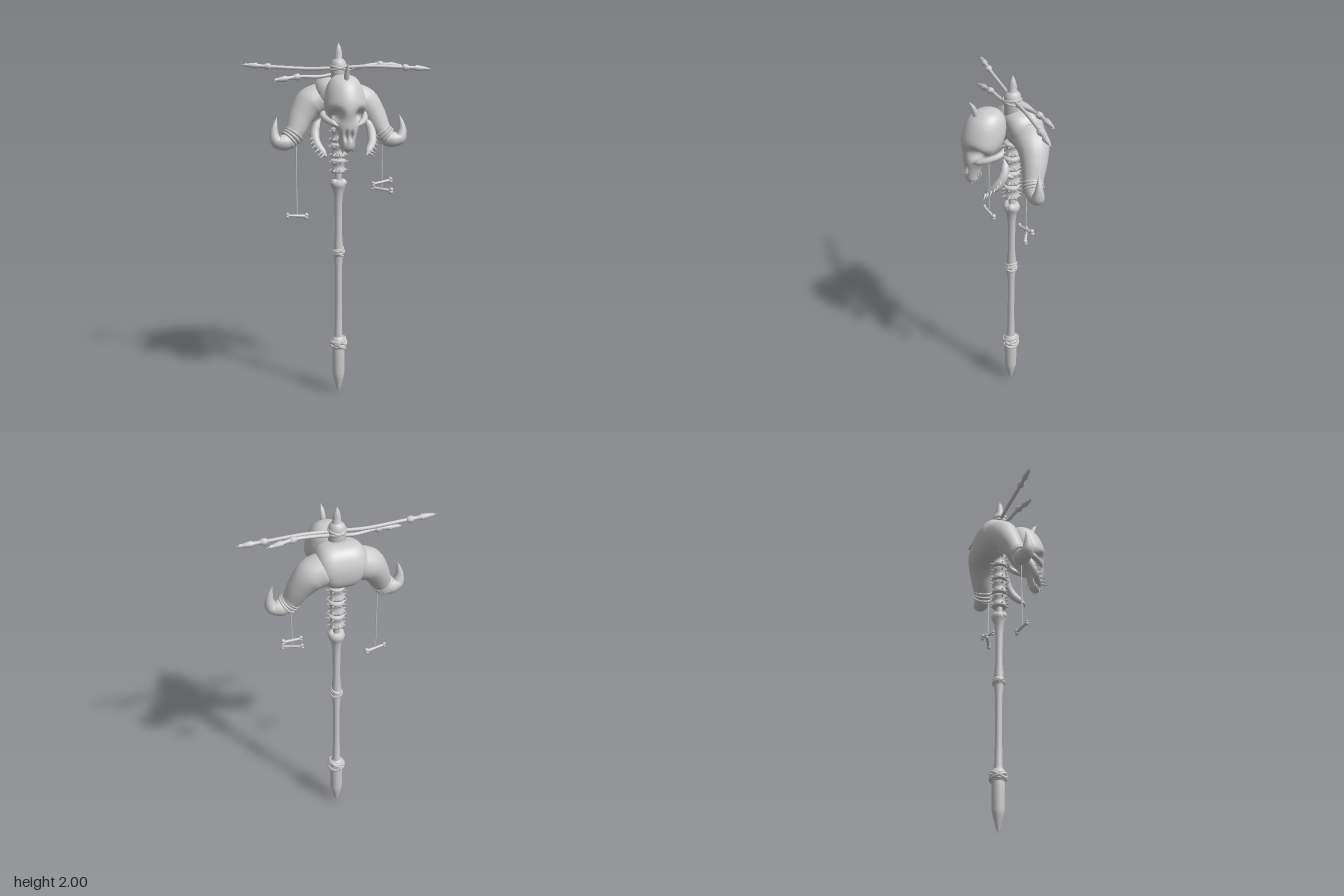
import * as THREE from 'three';
import { mergeVertices } from 'three/addons/utils/BufferGeometryUtils.js';

const AXIS_Z = -0.065;
const V = (x, y, z) => new THREE.Vector3(x, y, z);

export function createModel() {
  const root = new THREE.Group();
  const mat = new THREE.MeshStandardMaterial({ color: 0xcccccc, side: THREE.DoubleSide });

  const add = (parent, name, geo, x = 0, y = 0, z = 0) => {
    const m = new THREE.Mesh(geo, mat);
    m.name = name;
    m.position.set(x, y, z);
    parent.add(m);
    return m;
  };
  const group = (name, parent = root) => {
    const g = new THREE.Group();
    g.name = name;
    parent.add(g);
    return g;
  };
  const smooth = (geo) => {
    geo.deleteAttribute('uv');
    geo.deleteAttribute('normal');
    const g = mergeVertices(geo, 1e-5);
    g.computeVertexNormals();
    return g;
  };
  // Tube whose radius follows a list, one entry per path point
  const limb = (points, radii, seg = 28, sides = 14) => {
    const curve = new THREE.CatmullRomCurve3(points.map((p) => V(...p)));
    const geo = new THREE.TubeGeometry(curve, seg, 1, sides);
    const pos = geo.attributes.position, p = V(0, 0, 0);
    for (let i = 0; i <= seg; i++) {
      const c = curve.getPointAt(i / seg);
      const f = curve.getUtoTmapping(i / seg) * (radii.length - 1);
      const k = Math.min(Math.floor(f), radii.length - 2);
      const r = THREE.MathUtils.lerp(radii[k], radii[k + 1], f - k);
      for (let j = 0; j <= sides; j++) {
        const n = i * (sides + 1) + j;
        p.fromBufferAttribute(pos, n).sub(c).multiplyScalar(r).add(c);
        pos.setXYZ(n, p.x, p.y, p.z);
      }
    }
    return smooth(geo);
  };
  const lathe = (parent, name, pts, y = 0) =>
    add(parent, name, new THREE.LatheGeometry(pts.map((p) => new THREE.Vector2(...p)), 20), 0, y, AXIS_Z);
  // Cone from a base point along a direction
  const spike = (parent, name, base, dir, r, len) => {
    const d = V(...dir).normalize();
    const m = add(parent, name, new THREE.ConeGeometry(r, len, 7));
    m.quaternion.setFromUnitVectors(V(0, 1, 0), d);
    m.position.set(...base).addScaledVector(d, len / 2);
    return m;
  };

  // Long bone shaft with a pointed foot
  const staff = group('staff');
  lathe(staff, 'shaft', [[0, 0], [0.012, 0.025], [0.029, 0.09], [0.034, 0.12], [0.036, 0.24], [0.034, 0.3],
    [0.022, 0.36], [0.019, 0.5], [0.019, 0.74], [0.026, 0.82], [0.026, 0.88], [0.02, 0.95], [0.021, 1.12],
    [0.028, 1.19], [0.042, 1.215], [0.045, 1.235], [0.036, 1.252], [0, 1.255]]);
  for (const s of [-1, 1])
    add(staff, 'shaftKnuckle', new THREE.SphereGeometry(0.024, 14, 10), s * 0.022, 1.236, AXIS_Z + 0.012);

  // Crossed bindings
  const binding = (y, r, h) => {
    const g = group('binding', staff);
    const core = add(g, 'bindingCore', new THREE.SphereGeometry(r, 18, 12), 0, y, AXIS_Z);
    core.scale.y = h / r;
    for (const t of [-0.55, 0.55, -0.15, 0.2]) {
      const ring = add(g, 'bindingStrap', new THREE.TorusGeometry(r, r * 0.2, 8, 24), 0, y + t * 0.015, AXIS_Z);
      ring.rotation.set(Math.PI / 2 + (Math.abs(t) < 0.3 ? t * 2 : 0), t, 0);
    }
  };
  binding(0.3, 0.043, 0.052);
  binding(0.84, 0.031, 0.042);

  // Spiked vertebrae
  const spine = group('spine');
  add(spine, 'spineCore', new THREE.CylinderGeometry(0.019, 0.019, 0.45, 12), 0, 1.46, AXIS_Z);
  for (let i = 0; i < 4; i++) {
    const y = 1.33 + i * 0.087;
    lathe(spine, 'vertebra', [[0.015, -0.04], [0.04, -0.036], [0.043, -0.026], [0.034, -0.008], [0.034, 0.008],
      [0.043, 0.026], [0.04, 0.036], [0.015, 0.04]], y);
    for (let k = 0; k < 8; k++) for (const h of [-0.02, 0.02]) {
      const a = (k * Math.PI) / 4, c = Math.cos(a), s = Math.sin(a);
      spike(spine, 'vertebraSpike', [c * 0.036, y + h, AXIS_Z + s * 0.036], [c, h * 14, s], 0.007, 0.026);
    }
  }

  // Shoulder yoke: rounded bulk running from side to side
  const yoke = add(root, 'shoulderYoke', (() => {
    const g = new THREE.SphereGeometry(1, 40, 28);
    const pos = g.attributes.position;
    const sq = (v, e) => Math.sign(v) * Math.pow(Math.abs(v), e);
    for (let i = 0; i < pos.count; i++) {
      const x = sq(pos.getX(i), 0.55), y = sq(pos.getY(i), 0.75), z = sq(pos.getZ(i), 0.75);
      const taper = y < 0 ? 1 + 0.22 * y : 1;
      pos.setXYZ(i, x * 0.132 * taper, y * 0.118, z * 0.1 * taper + y * 0.012);
    }
    return smooth(g);
  })(), 0, 1.705, -0.115);
  yoke.rotation.x = 0.12;

  // Arms ending in curled horns
  for (const s of [-1, 1]) {
    const arm = group(s > 0 ? 'leftArm' : 'rightArm');
    add(arm, 'upperArm', limb([[s * 0.05, 1.71, -0.115], [s * 0.09, 1.695, -0.115], [s * 0.15, 1.67, -0.11],
      [s * 0.2, 1.61, -0.095], [s * 0.24, 1.53, -0.072], [s * 0.27, 1.485, -0.06], [s * 0.285, 1.475, -0.057]],
    [0, 0.088, 0.087, 0.07, 0.055, 0.046, 0], 32, 18));
    add(arm, 'hornClaw', limb([[s * 0.235, 1.49, -0.06], [s * 0.26, 1.48, -0.058], [s * 0.305, 1.47, -0.052],
      [s * 0.345, 1.48, -0.048], [s * 0.357, 1.52, -0.048], [s * 0.352, 1.565, -0.05], [s * 0.34, 1.61, -0.054]],
    [0, 0.042, 0.044, 0.036, 0.024, 0.014, 0], 36, 16));
    for (let k = 0; k < 3; k++) {
      const band = add(arm, 'wristBand', new THREE.TorusGeometry(0.05, 0.007, 8, 28),
        s * (0.247 + k * 0.012), 1.513 - k * 0.013, -0.066 + k * 0.003);
      band.quaternion.setFromUnitVectors(V(0, 0, 1), V(s * (0.6 + k * 0.12), -0.75, 0.2).normalize());
    }
  }

  // Skull lofted from the crown down to the snout
  const skull = group('skull');
  // height, front z, back z, half width
  const rows = [[1.842, 0.075, 0.075, 0], [1.828, 0.13, 0.015, 0.055], [1.79, 0.175, -0.015, 0.087],
    [1.725, 0.206, -0.02, 0.107], [1.665, 0.216, 0, 0.112], [1.605, 0.207, 0.045, 0.085], [1.55, 0.208, 0.1, 0.054],
    [1.5, 0.204, 0.12, 0.041], [1.46, 0.195, 0.135, 0.034], [1.437, 0.168, 0.168, 0]];
  const depthCurve = new THREE.CatmullRomCurve3(rows.map((r) => V(r[0], r[1], r[2])));
  const widthCurve = new THREE.CatmullRomCurve3(rows.map((r) => V(r[0], r[3], 0)));
  const skullGeo = new THREE.CylinderGeometry(1, 1, 1, 48, 54, true);
  const sp = skullGeo.attributes.position;
  for (let i = 0; i < sp.count; i++) {
    const t = THREE.MathUtils.clamp(0.5 - sp.getY(i), 0, 1);
    const d = depthCurve.getPoint(t), w = Math.max(0, widthCurve.getPoint(t).y);
    const front = sp.getZ(i);
    let x = sp.getX(i) * w, z = (d.y + d.z) / 2 + front * (d.y - d.z) / 2;
    // Eye sockets and nostrils pressed into the face
    if (front > -0.1) {
      const ax = Math.abs(x);
      const eye = Math.exp(-(((ax - 0.07) / 0.028) ** 2) - ((d.x - 1.635) / 0.03) ** 2);
      const nose = Math.exp(-(((ax - 0.014) / 0.009) ** 2) - ((d.x - 1.53) / 0.024) ** 2);
      z -= 0.055 * eye + 0.03 * nose * Math.max(0, front);
      x *= 1 - 0.18 * eye;
    }
    sp.setXYZ(i, x, d.x, z);
  }
  add(skull, 'cranium', smooth(skullGeo));
  add(skull, 'crownHorn', limb([[0, 1.81, 0.135], [0, 1.84, 0.143], [0, 1.87, 0.155], [0, 1.9, 0.175]],
    [0.014, 0.015, 0.012, 0], 12, 10));
  for (const s of [-1, 1]) {
    add(skull, 'cheekbone', limb([[s * 0.045, 1.575, 0.185], [s * 0.075, 1.592, 0.16], [s * 0.105, 1.61, 0.11],
      [s * 0.11, 1.63, 0.05], [s * 0.08, 1.65, 0.02]], [0, 0.016, 0.017, 0.017, 0], 20, 10));
    for (let k = 0; k < 5; k++)
      spike(skull, 'upperTooth', [s * (0.024 + k * 0.003), 1.462 + k * 0.012, 0.178 - k * 0.011],
        [s * 0.25, -1, -0.25], 0.008, 0.036);
    // Split lower jaw hanging beside the snout
    const jaw = group(s > 0 ? 'leftJaw' : 'rightJaw', skull);
    const path = [[s * 0.115, 1.61, 0.035], [s * 0.14, 1.575, 0.04], [s * 0.155, 1.53, 0.055],
      [s * 0.152, 1.48, 0.088], [s * 0.125, 1.438, 0.122], [s * 0.105, 1.412, 0.148]];
    add(jaw, 'jawBone', limb(path, [0, 0.02, 0.025, 0.024, 0.019, 0], 26, 12));
    spike(jaw, 'jawHook', [s * 0.15, 1.535, 0.05], [s * 0.04, -0.02, -0.055], 0.02, 0.066);
    const curve = new THREE.CatmullRomCurve3(path.map((p) => V(...p)));
    for (let k = 0; k < 6; k++) {
      const p = curve.getPoint(0.46 + k * 0.085);
      spike(jaw, 'jawTooth', [p.x + s * 0.008, p.y, p.z + 0.01], [s * 0.7, -0.35, 0.55], 0.008, 0.04);
    }
  }

  // Top socket and finial
  const finial = group('finial');
  lathe(finial, 'socket', [[0, 1.72], [0.044, 1.73], [0.045, 1.87], [0.041, 1.895], [0.03, 1.91], [0.021, 1.915],
    [0.021, 1.945], [0.013, 1.975], [0, 2]]);
  for (const t of [-0.25, 0.25]) {
    const cord = add(finial, 'socketCord', new THREE.TorusGeometry(0.045, 0.006, 8, 28), 0, 1.865, AXIS_Z);
    cord.rotation.set(Math.PI / 2, t, 0);
  }

  // Crossed double-ended spears
  const spear = (pts) => {
    const g = group('spear');
    add(g, 'spearShaft', limb(pts, pts.map(() => 0.0095), 30, 10));
    for (const [tip, next] of [[pts[0], pts[1]], [pts.at(-1), pts.at(-2)]]) {
      const dir = V(...tip).sub(V(...next)).normalize();
      const head = add(g, 'spearHead', new THREE.LatheGeometry([[0.009, -0.16], [0.016, -0.155], [0.019, -0.142],
        [0.016, -0.128], [0.01, -0.122], [0.01, -0.09], [0.017, -0.08], [0.012, -0.045], [0, 0]]
        .map((p) => new THREE.Vector2(...p)), 10), ...tip);
      head.quaternion.setFromUnitVectors(V(0, 1, 0), dir);
      head.position.addScaledVector(dir, 0.02);
    }
  };
  spear([[-0.5, 1.884, -0.109], [-0.35, 1.873, -0.097], [-0.15, 1.861, -0.085], [0, 1.865, -0.068],
    [0.18, 1.872, -0.055], [0.34, 1.865, -0.044], [0.49, 1.856, -0.03]]);
  spear([[-0.35, 1.807, -0.03], [-0.22, 1.822, -0.045], [-0.1, 1.82, -0.055], [0, 1.84, -0.065],
    [0.1, 1.862, -0.08], [0.23, 1.88, -0.098], [0.36, 1.869, -0.112]]);

  // Small bones hanging on cords
  const smallBone = (parent, x, y, z, tilt, turn) => {
    const b = group('smallBone', parent);
    add(b, 'boneShaft', new THREE.CylinderGeometry(0.007, 0.009, 0.11, 10)).rotation.z = Math.PI / 2;
    for (const e of [-1, 1]) for (const k of [-1, 1])
      add(b, 'boneEnd', new THREE.SphereGeometry(e > 0 ? 0.012 : 0.009, 10, 8), e * 0.054, k * 0.007, 0);
    b.position.set(x, y, z);
    b.rotation.set(0, turn, tilt);
  };
  for (const [x, bottom, bones] of [[-0.24, 1.065, [[1.065, -0.1, 0.1]]],
    [0.24, 1.19, [[1.235, 0.14, 0.2], [1.195, -0.12, -0.5]]]]) {
    const charm = group('hangingCharm');
    const len = 1.47 - bottom;
    add(charm, 'cord', new THREE.CylinderGeometry(0.0035, 0.0035, len, 8), x, bottom + len / 2, -0.035);
    for (const [y, tilt, turn] of bones) smallBone(charm, x, y, -0.035, tilt, turn);
  }
  return root;
}
